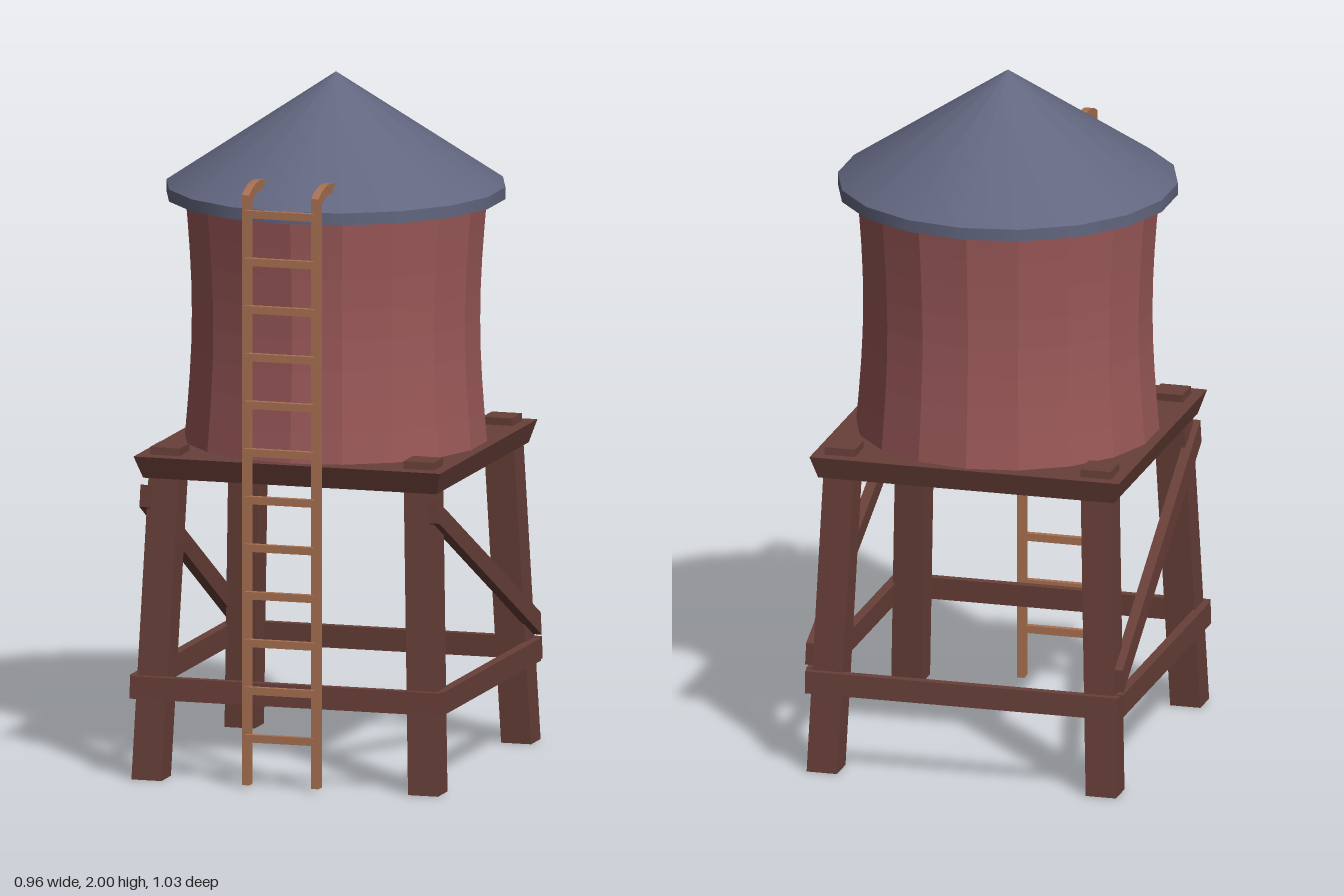
import * as THREE from 'three';

const mat = (name, color, opts = {}) => {
  const m = new THREE.MeshStandardMaterial({ color, ...opts });
  m.name = name;
  return m;
};

export function createModel() {
  const group = new THREE.Group();
  const wood = mat('dark wood', 0x683f38);
  const red = mat('tank red', 0x9c5959, { flatShading: true });
  const slate = mat('roof slate', 0x62667f);
  const tan = mat('ladder wood', 0xa87050);
  const ZC = -0.025; // centre of the tower, set back behind the ladder
  const SIDES = 18;

  const add = (name, geometry, material, x = 0, y = 0, z = 0) => {
    const mesh = new THREE.Mesh(geometry, material);
    mesh.name = name;
    mesh.position.set(x, y, z);
    group.add(mesh);
    return mesh;
  };

  // Unit box whose corners are placed by a rule
  const warpedBox = (rule) => {
    const g = new THREE.BoxGeometry(1, 1, 1).toNonIndexed();
    const p = g.attributes.position;
    for (let i = 0; i < p.count; i++) {
      p.setXYZ(i, ...rule(p.getX(i) + 0.5, p.getY(i) + 0.5, p.getZ(i) + 0.5));
    }
    g.computeVertexNormals();
    return g;
  };
  const mix = THREE.MathUtils.lerp;

  // Prism between a lower and an upper rectangle [x0, x1, z0, z1]
  const prism = (y0, y1, a, b) => warpedBox((u, v, w) => [
    mix(mix(a[0], a[1], u), mix(b[0], b[1], u), v),
    mix(y0, y1, v),
    mix(mix(a[2], a[3], w), mix(b[2], b[3], w), v),
  ]);
  const square = (x, z, h) => [x - h, x + h, z - h, z + h];

  // Leaning legs, their ends poking through the deck
  for (const sx of [-1, 1]) {
    for (const sz of [-1, 1]) {
      add('leg', prism(0, 0.957,
        square(sx * 0.415, ZC + sz * 0.44, 0.045),
        square(sx * 0.38, ZC + sz * 0.373, 0.045)), wood);
    }
  }

  // Deck, slightly wider on top
  add('deck', prism(0.87, 0.935, [-0.44, 0.44, -0.46, 0.412], [-0.46, 0.46, -0.48, 0.44]), wood);

  // Horizontal rails around the legs
  for (const s of [-1, 1]) {
    const z = ZC + s * 0.474;
    add('crossRail', prism(0.235, 0.3,
      [-0.465, 0.465, z - 0.013, z + 0.013],
      [-0.465, 0.465, z - 0.013 - s * 0.004, z + 0.013 - s * 0.004]), wood);
    const x = s * 0.459;
    add('sideRail', prism(0.235, 0.3,
      [x - 0.014, x + 0.014, -0.475, 0.437],
      [x - 0.014 - s * 0.002, x + 0.014 - s * 0.002, -0.475, 0.437]), wood);
  }

  // Diagonal side braces, high at the front and low at the back
  for (const s of [-1, 1]) {
    add('diagonalBrace', warpedBox((u, v, w) => {
      const y = mix(0.31, 0.785, w) + v * 0.065;
      return [s * 0.458 - s * 0.05 * (y - 0.33) + (u - 0.5) * 0.03, y, mix(-0.477, 0.415, w)];
    }), wood);
  }

  // Tank with a gently pinched waist
  const profile = [];
  for (let i = 0; i <= 8; i++) {
    const t = i / 8;
    profile.push(new THREE.Vector2(0.436 - 0.02 * Math.sin(Math.PI * t), mix(0.935, 1.645, t)));
  }
  add('tank', new THREE.LatheGeometry(profile, SIDES), red, 0, 0, ZC);

  // Conical roof on a thin rim
  add('roofRim', new THREE.CylinderGeometry(0.489, 0.489, 0.035, SIDES), slate, 0, 1.6575, ZC);
  add('roofCone', new THREE.ConeGeometry(0.489, 0.325, SIDES, 1, true), slate, 0, 1.8375, ZC);

  // Ladder rails, hooked over the roof edge (drawn in z and y)
  const rail = new THREE.Shape();
  rail.moveTo(0.47, 0.01);
  rail.lineTo(0.503, 0.01);
  rail.lineTo(0.503, 1.725);
  rail.quadraticCurveTo(0.44, 1.765, 0.345, 1.745);
  rail.lineTo(0.345, 1.715);
  rail.quadraticCurveTo(0.42, 1.733, 0.47, 1.705);
  const railGeometry = new THREE.ExtrudeGeometry(rail, { depth: 0.022, bevelEnabled: false, curveSegments: 5 });
  railGeometry.translate(0, 0, -0.011).rotateY(-Math.PI / 2);
  for (const s of [-1, 1]) add('ladderRail', railGeometry, tan, s * 0.104);

  // Ladder rungs
  const rung = new THREE.BoxGeometry(0.21, 0.022, 0.018);
  for (let i = 0; i < 12; i++) add('ladderRung', rung, tan, 0, 0.148 + i * 0.1385, 0.505);

  return group;
}
